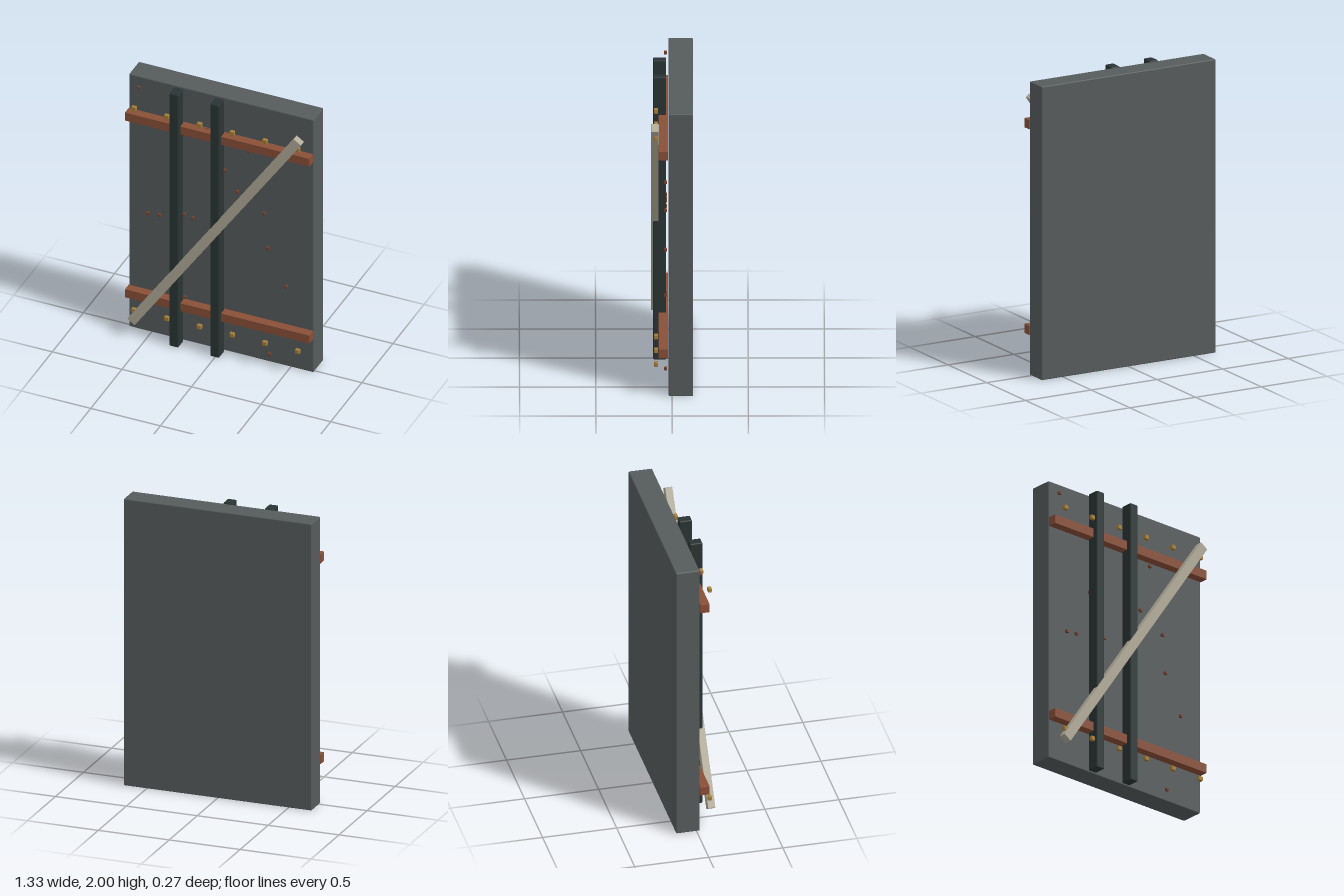
import * as THREE from 'three';
import { RoundedBoxGeometry } from 'three/addons/geometries/RoundedBoxGeometry.js';

const mat = (name, color) => {
  const m = new THREE.MeshStandardMaterial({ color });
  m.name = name;
  return m;
};

export function createModel() {
  const slate = mat('slate grey', 0x565b5c);
  const rust = mat('rust brown', 0x8a4f37);
  const dark = mat('dark iron', 0x2a3434);
  const bone = mat('pale grey beige', 0xb0aa97);
  const brass = mat('brass', 0xa67f35);
  const rivetRust = mat('dark rust', 0x73402c);

  const model = new THREE.Group();
  model.name = 'bracedDoorPanel';

  // Box with small bevels, placed by its centre
  const block = (name, material, [w, h, d], [x, y, z], bevel, parent = model) => {
    const geometry = bevel ? new RoundedBoxGeometry(w, h, d, 1, bevel) : new THREE.BoxGeometry(w, h, d);
    const mesh = new THREE.Mesh(geometry, material);
    mesh.name = name;
    mesh.position.set(x, y, z);
    parent.add(mesh);
    return mesh;
  };

  // Main slab
  block('panel', slate, [1.326, 2, 0.16], [0, 1, -0.058], 0.007);

  // Horizontal rails
  for (const y of [0.302, 1.703]) block('rail', rust, [1.326, 0.064, 0.062], [0, y, 0.057], 0.002);

  // Vertical battens
  for (const x of [-0.296, -0.003]) block('batten', dark, [0.064, 2, 0.085], [x, 1, 0.08], 0.007);

  // Diagonal brace
  const brace = block('diagonalBrace', bone, [2.125, 0.065, 0.05], [0, 1, 0.112], 0.003);
  brace.rotation.z = Math.atan2(0.878, 0.598);

  // Two rows of brass bolts
  const bolts = new THREE.Group();
  bolts.name = 'bolts';
  model.add(bolts);
  for (const y of [0.2, 1.8])
    for (let i = 0; i < 6; i++)
      block('bolt', brass, [0.034, 0.032, 0.025], [-0.589 + i * 0.2352, y, 0.105], 0.005, bolts);

  // Scattered rivets
  const rivets = new THREE.Group();
  rivets.name = 'rivets';
  model.add(rivets);
  const spots = [
    [-0.584, 1.927], [-0.093, 1.727], [0.206, 1.64], [0.034, 1.44], [0.124, 1.297],
    [-0.319, 1.292], [0.317, 1.178], [-0.257, 1.01], [-0.196, 0.998], [-0.519, 0.948],
    [-0.436, 0.956], [0.343, 0.91], [0.475, 0.64], [-0.255, 0.357], [0.354, 0.072],
  ];
  for (const [x, y] of spots) block('rivet', rivetRust, [0.021, 0.021, 0.018], [x, y, 0.042], 0.003, rivets);

  return model;
}
